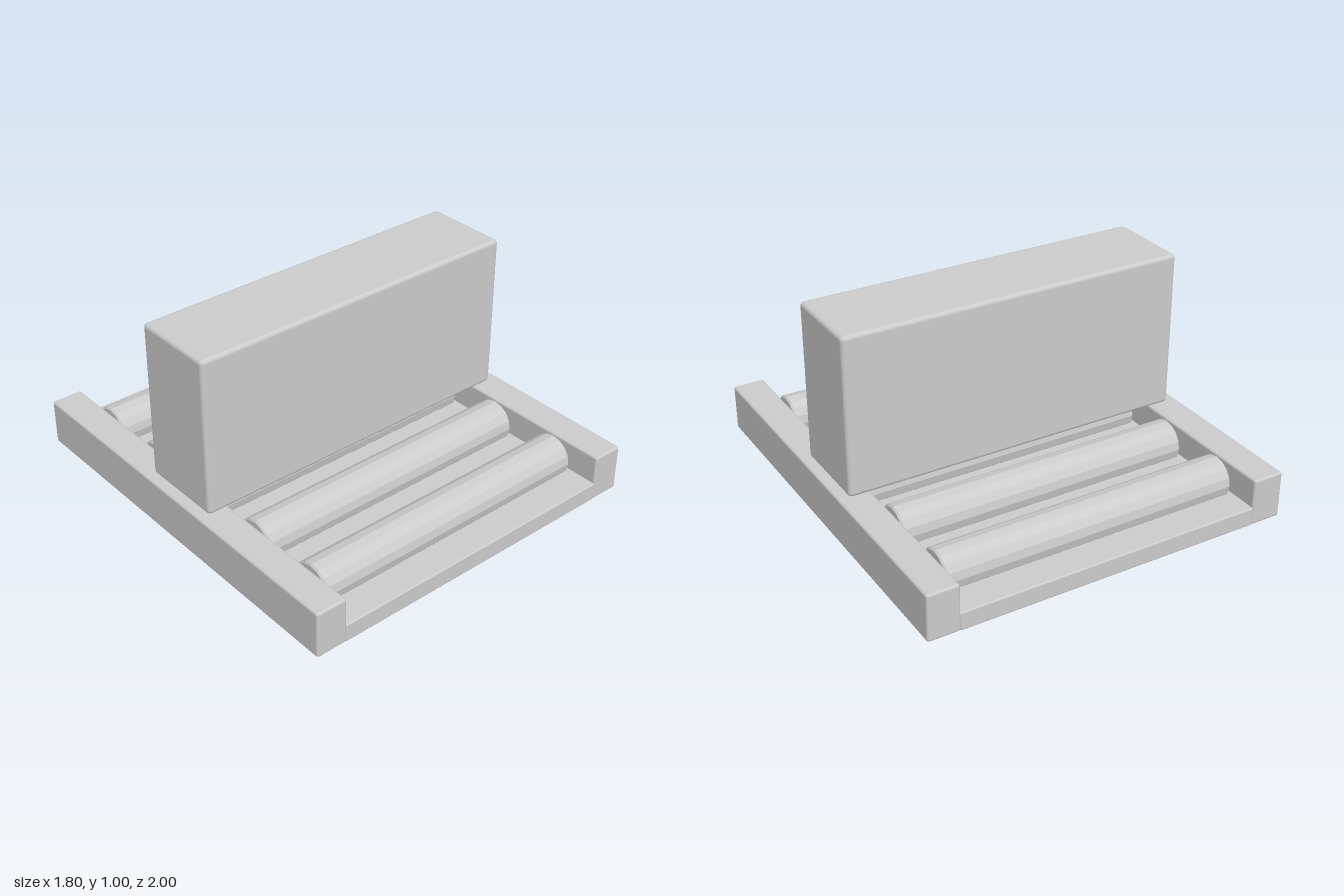
import * as THREE from 'three';
import { RoundedBoxGeometry } from 'three/addons/geometries/RoundedBoxGeometry.js';

export function createModel() {
  const model = new THREE.Group();
  const smooth = new THREE.MeshStandardMaterial({ color: 0xcccccc });
  const faceted = new THREE.MeshStandardMaterial({ color: 0xcccccc, flatShading: true });

  // Box with softened edges, placed by its centre x and bottom y
  function block(name, width, height, depth, x, bottom, bevel) {
    const mesh = new THREE.Mesh(new RoundedBoxGeometry(width, height, depth, 2, bevel), smooth);
    mesh.name = name;
    mesh.position.set(x, bottom + height / 2, 0);
    model.add(mesh);
  }

  // Deck and the two side rails
  block('deck', 1.5, 0.09, 2, 0, 0, 0.008);
  for (const side of [1, -1]) {
    block(side > 0 ? 'leftRail' : 'rightRail', 0.155, 0.23, 2, side * 0.8225, 0, 0.012);
  }

  // Rollers with chamfered ends, evenly spaced and sunk into the deck
  const radius = 0.105, half = 0.73, chamfer = 0.008;
  const profile = [
    [0, -half], [radius - chamfer, -half], [radius, -half + chamfer],
    [radius, half - chamfer], [radius - chamfer, half], [0, half],
  ].map(([r, y]) => new THREE.Vector2(r, y));
  const rollerGeometry = new THREE.LatheGeometry(profile, 16).rotateZ(Math.PI / 2);
  for (let i = -2; i <= 2; i++) {
    const roller = new THREE.Mesh(rollerGeometry, faceted);
    roller.name = 'roller' + (i + 3);
    roller.position.set(0, 0.133, i * 0.376);
    model.add(roller);
  }

  // Carton resting on the conveyor
  block('carton', 1.7, 0.775, 0.42, 0, 0.225, 0.02);

  return model;
}
